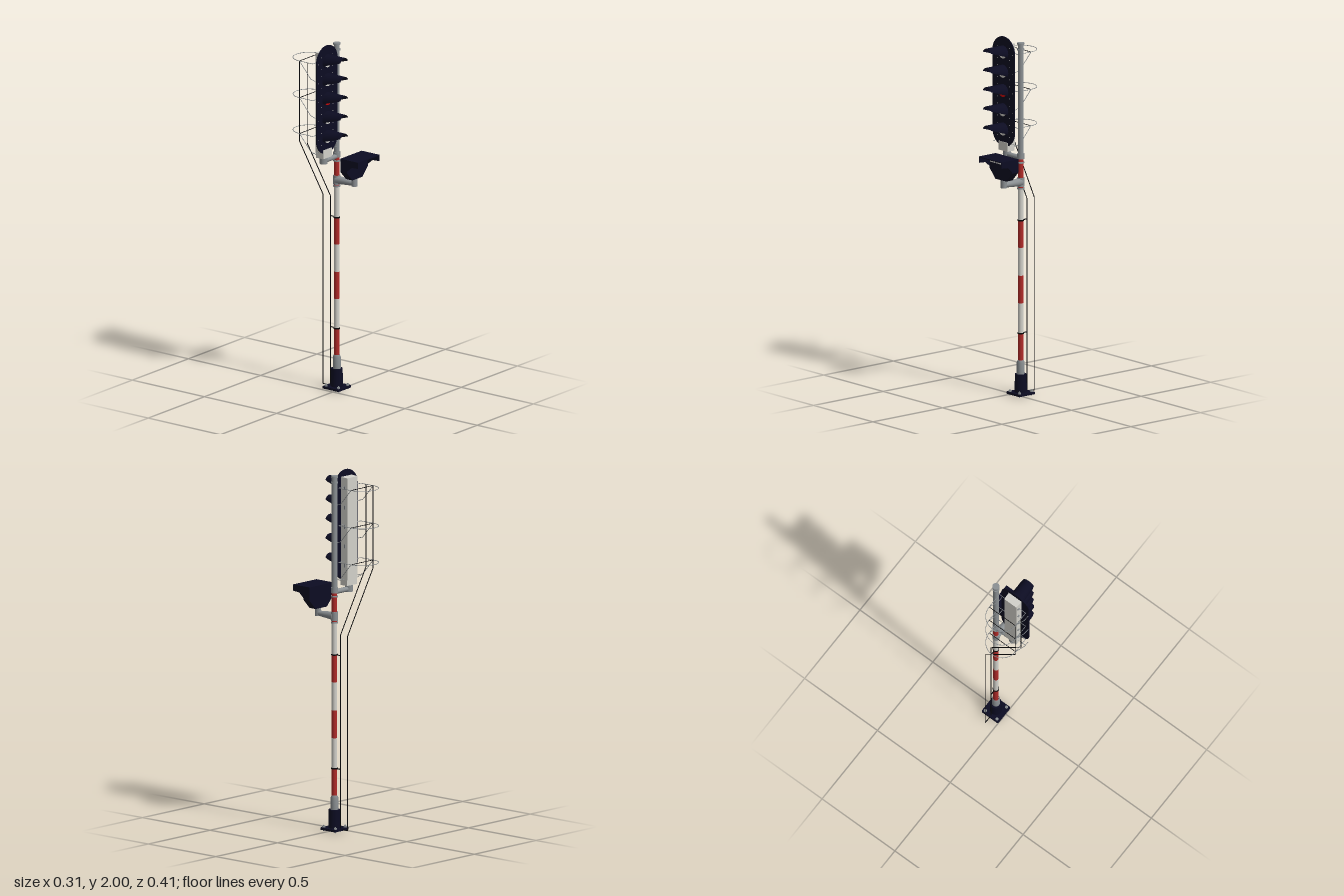
import * as THREE from 'three';

const mat = (name, color, side = THREE.FrontSide) => {
  const m = new THREE.MeshStandardMaterial({ color, side });
  m.name = name;
  return m;
};

export function createModel() {
  const dark = mat('dark navy', 0x0c0c22, THREE.DoubleSide);
  const black = mat('black', 0x08080a);
  const light = mat('light grey', 0xd2d1ca);
  const grey = mat('steel grey', 0x8b9093);
  const red = mat('stripe red', 0xb02a28);
  const lampRed = mat('lamp red', 0xd00808);

  const root = new THREE.Group();
  root.name = 'railwaySignal';
  const add = (name, geo, m, x = 0, y = 0, z = 0, parent = root) => {
    const mesh = new THREE.Mesh(geo, m);
    mesh.name = name;
    mesh.position.set(x, y, z);
    parent.add(mesh);
    return mesh;
  };
  const V = (x, y, z) => new THREE.Vector3(x, y, z);
  // Cylinder between two points
  const rod = (name, a, b, r, m, r2 = r, sides = 16) => {
    const d = b.clone().sub(a);
    const mesh = add(name, new THREE.CylinderGeometry(r2, r, d.length(), sides), m);
    mesh.position.copy(a).addScaledVector(d, 0.5);
    mesh.quaternion.setFromUnitVectors(V(0, 1, 0), d.normalize());
    return mesh;
  };
  // Thin bent bar through a list of points
  const bar = (name, pts, r, m) => {
    const path = new THREE.CurvePath();
    for (let i = 1; i < pts.length; i++) rod(name, pts[i - 1], pts[i], r, m, r, 6);
    return path;
  };
  const extrude = (shape, depth) =>
    new THREE.ExtrudeGeometry(shape, { depth, bevelEnabled: false, curveSegments: 20 });

  const PX = 0.055, PZ = -0.015, HX = -0.0625;

  // Base plate, anchor bolts and sleeves
  const plate = new THREE.Shape();
  const h = 0.057, c = 0.008;
  plate.moveTo(-h + c, -h).lineTo(h - c, -h).quadraticCurveTo(h, -h, h, -h + c)
    .lineTo(h, h - c).quadraticCurveTo(h, h, h - c, h)
    .lineTo(-h + c, h).quadraticCurveTo(-h, h, -h, h - c)
    .lineTo(-h, -h + c).quadraticCurveTo(-h, -h, -h + c, -h);
  add('basePlate', extrude(plate, 0.012), dark, PX, 0.008, PZ).rotation.x = -Math.PI / 2;
  for (const sx of [-1, 1]) for (const sz of [-1, 1]) {
    const x = PX + sx * 0.04, z = PZ + sz * 0.043;
    add('anchorNut', new THREE.CylinderGeometry(0.009, 0.009, 0.008, 6), grey, x, 0.024, z);
    add('anchorBolt', new THREE.CylinderGeometry(0.004, 0.004, 0.034, 8), grey, x, 0.017, z);
  }
  add('baseSleeve', new THREE.CylinderGeometry(0.032, 0.034, 0.102, 24), dark, PX, 0.07, PZ);
  const collar = [[0.022, 0.12], [0.022, 0.185], [0.016, 0.2]].map(p => new THREE.Vector2(...p));
  add('poleCollar', new THREE.LatheGeometry(collar, 24), grey, PX, 0, PZ);

  // Striped pole and plain upper pole
  const bands = [0.19, 0.35, 0.52, 0.675, 0.832, 0.988, 1.16, 1.33];
  for (let i = 0; i < bands.length - 1; i++) {
    rod('poleBand', V(PX, bands[i], PZ), V(PX, bands[i + 1], PZ), 0.015, i % 2 ? light : red, 0.015, 24);
  }
  rod('upperPole', V(PX, 1.33, PZ), V(PX, 1.98, PZ), 0.016, grey, 0.016, 24);
  for (const [y, t] of [[1.978, 0.01], [1.945, 0.008], [1.345, 0.03], [1.31, 0.008], [1.2, 0.05], [1.165, 0.008]]) {
    add('poleClamp', new THREE.CylinderGeometry(0.02, 0.02, t, 24), grey, PX, y, PZ);
  }

  // Backing board of the signal head
  const R = 0.0925, topY = 1.907, botY = 1.474;
  const board = new THREE.Shape();
  board.absarc(0, topY, R, 0, Math.PI).absarc(0, botY, R, Math.PI, Math.PI * 2).closePath();
  add('backingBoard', extrude(board, 0.006), dark, HX, 0, 0.004);

  // Lamp housing behind the board, narrowing to the rear
  const housing = new THREE.BoxGeometry(0.088, 0.575, 0.044);
  const hp = housing.attributes.position;
  for (let i = 0; i < hp.count; i++) if (hp.getZ(i) < 0) {
    hp.setX(i, hp.getX(i) * 0.94);
    hp.setY(i, hp.getY(i) * 0.99);
  }
  housing.computeVertexNormals();
  add('lampHousing', housing, light, HX, 1.675, -0.018);
  add('junctionBox', new THREE.BoxGeometry(0.078, 0.05, 0.05), light, HX, 1.383, -0.012);
  for (let i = 0; i < 5; i++) for (const s of [-1, 1]) {
    add('housingLatch', new THREE.BoxGeometry(0.006, 0.02, 0.01), grey, HX + s * 0.043, 1.47 + i * 0.1085, -0.024);
  }

  // Cowl: cylinder shell whose lower edge rises toward its tip
  const cowl = () => {
    const pos = [], idx = [], n = 20, r = 0.042;
    for (const [z, cut, k] of [[0.01, -0.018, 1], [0.11, 0.014, 0.98], [0.128, 0.02, 0.93]]) {
      const a0 = Math.asin(cut / r);
      for (let i = 0; i <= n; i++) {
        const a = a0 + (Math.PI - 2 * a0) * i / n;
        pos.push(Math.cos(a) * r * k, Math.sin(a) * r, z);
      }
    }
    for (let j = 0; j < 2; j++) for (let i = 0; i < n; i++) {
      const a = j * (n + 1) + i, b = a + n + 1;
      idx.push(a, b, a + 1, a + 1, b, b + 1);
    }
    const g = new THREE.BufferGeometry();
    g.setAttribute('position', new THREE.Float32BufferAttribute(pos, 3));
    g.setIndex(idx);
    g.computeVertexNormals();
    return g;
  };
  for (let i = 0; i < 5; i++) {
    const y = botY + i * (topY - botY) / 4;
    const unit = new THREE.Group();
    unit.name = 'lampUnit';
    unit.position.set(HX, y, 0);
    root.add(unit);
    const face = (name, r, t, m, z) =>
      add(name, new THREE.CylinderGeometry(r, r, t, 28), m, 0, 0, z, unit).rotation.x = Math.PI / 2;
    face('lampRim', 0.037, 0.006, dark, 0.012);
    face('lens', 0.03, 0.006, i === 2 ? lampRed : light, 0.014);
    add('cowl', cowl(), dark, 0, 0, 0, unit);
    // Board screws beside each lamp
    for (const s of [-1, 1]) for (const [dx, dy] of [[0.05, 0.034], [0.05, -0.034], [0.077, 0]]) {
      add('boardScrew', new THREE.SphereGeometry(0.0024, 8, 6), light, s * dx, dy, 0.01, unit);
    }
  }

  // Arm carrying the signal head
  rod('headArm', V(PX, 1.335, PZ), V(HX - 0.018, 1.335, PZ), 0.014, grey);
  rod('headStub', V(HX, 1.32, PZ), V(HX, 1.36, PZ), 0.022, grey);

  // Arm carrying the route indicator
  rod('indicatorArm', V(PX, 1.2, PZ), V(PX, 1.2, 0.115), 0.024, grey, 0.013);
  rod('indicatorPost', V(PX, 1.185, 0.107), V(PX, 1.24, 0.107), 0.017, grey);

  // Route indicator body with tapered bottom
  const body = new THREE.Shape();
  body.moveTo(-0.095, 1.36).lineTo(-0.095, 1.285).lineTo(-0.045, 1.232).lineTo(0.045, 1.232)
    .lineTo(0.095, 1.285).lineTo(0.095, 1.36).closePath();
  add('indicatorBody', extrude(body, 0.045), dark, PX, 0, 0.083);
  add('indicatorRoof', new THREE.BoxGeometry(0.19, 0.005, 0.122), dark, PX, 1.3575, 0.144);
  const cheek = new THREE.Shape();
  cheek.moveTo(-0.083, 1.36).lineTo(-0.205, 1.36).lineTo(-0.205, 1.325).lineTo(-0.16, 1.322)
    .lineTo(-0.126, 1.293).lineTo(-0.083, 1.293).closePath();
  for (const s of [-1, 1]) {
    add('indicatorCheek', extrude(cheek, 0.004), dark, PX + s * 0.093 - 0.002, 0, 0).rotation.y = Math.PI / 2;
  }
  for (let i = 0; i < 4; i++) {
    add('indicatorWindow', new THREE.BoxGeometry(0.04, 0.024, 0.004), light, PX + (i - 1.5) * 0.045, 1.333, 0.1295);
  }

  // Pair of climbing rails that bend sideways up to the head
  for (const z of [-0.06, -0.112]) {
    bar('climbingRail', [V(PX, 0.015, z), V(PX, 1.1, z), V(-0.151, 1.45, z), V(-0.151, 1.91, z)], 0.0025, black);
  }
  rod('railFoot', V(PX, 0.015, -0.06), V(PX, 0.015, -0.112), 0.0025, black, 0.0025, 6);
  for (const y of [0.35, 0.985]) {
    rod('railBracket', V(PX, y, PZ), V(PX, y, -0.06), 0.003, black, 0.003, 8);
    add('bracketBand', new THREE.CylinderGeometry(0.018, 0.018, 0.007, 24), black, PX, y, PZ);
  }

  // Safety hoops with diagonal stays and cross bars
  const xl = HX - 0.09, xr = HX + 0.09;
  for (const y of [1.91, 1.7, 1.495]) {
    const arc = new THREE.CurvePath();
    const pts = [];
    for (let i = 0; i <= 24; i++) {
      const a = Math.PI * i / 24;
      pts.push(V(HX - Math.cos(a) * 0.09, y, -0.113 - Math.sin(a) * 0.09));
    }
    arc.add(new THREE.LineCurve3(V(xl, y, -0.02), pts[0]));
    arc.add(new THREE.CatmullRomCurve3(pts));
    arc.add(new THREE.LineCurve3(pts[24], V(xr, y, -0.02)));
    add('safetyHoop', new THREE.TubeGeometry(arc, 80, 0.0018, 6), grey);
    rod('hoopCrossBar', V(xl, y, -0.02), V(xr, y, -0.02), 0.0018, grey, 0.0018, 6);
    rod('hoopCrossBar', V(xl, y, -0.112), V(xr, y, -0.112), 0.0018, black, 0.0018, 6);
    for (const x of [xl, xr]) {
      bar('hoopStay', [V(x, y, -0.112), V(x, y - 0.088, -0.035), V(x, y - 0.1, 0.004)], 0.0018, grey);
    }
  }
  rod('lowerCrossBar', V(xl, 1.395, -0.02), V(xr, 1.395, -0.02), 0.0018, grey, 0.0018, 6);
  return root;
}
